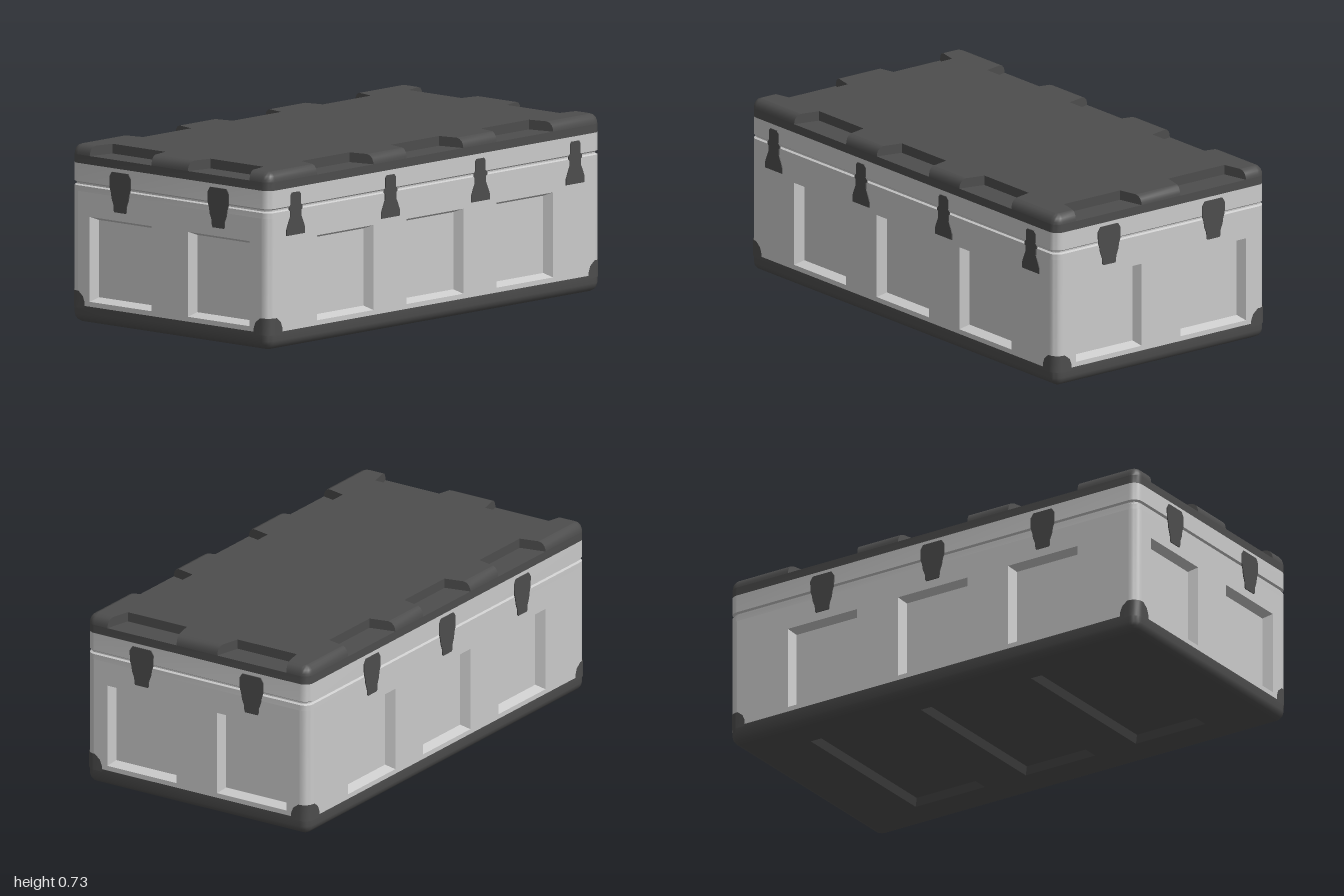
import * as THREE from 'three';
import { toCreasedNormals } from 'three/addons/utils/BufferGeometryUtils.js';

const HX = 1, HZ = 0.545, R = 0.04, SEG = 6;
const WALL_LOW = 0.07, WALL_TOP = 0.54, LID_LOW = 0.655, NOTCH_Y = 0.69, TOP = 0.73;

// Side k: 0 = +x, 1 = +z, 2 = -x, 3 = -z
function side(k) {
  const a = k * Math.PI / 2, c = Math.round(Math.cos(a)), s = Math.round(Math.sin(a)), end = k % 2 === 0;
  const D = end ? HX : HZ, L = end ? HZ : HX;
  return {
    a, D, L, centres: end ? [-0.27, 0.27] : [-0.54, 0, 0.54],
    at: (out, along) => [c * out - s * along, s * out + c * along],
  };
}

// Rounded corner points between side k and the next
function corner(k, inset) {
  const { a, D, L, at } = side(k), [cx, cz] = at(D - R, L - R), pts = [];
  for (let i = 0; i <= SEG; i++) {
    const t = a + (i / SEG) * Math.PI / 2;
    pts.push([cx + Math.cos(t) * (R - inset), cz + Math.sin(t) * (R - inset)]);
  }
  return pts;
}

// Plan outline of the case, optionally with trapezoid notches along the edges
function outline(inset, notched = false) {
  const pts = [];
  for (let k = 0; k < 4; k++) {
    const { D, centres, at } = side(k);
    const mouth = 0.17 - 0.025 * inset / 0.11;
    if (notched) for (const c of centres) {
      pts.push(at(D - inset, c - mouth), at(D - 0.11, c - 0.145), at(D - 0.11, c + 0.145), at(D - inset, c + mouth));
    }
    pts.push(...corner(k, inset));
  }
  return pts;
}

const level = (pts, y) => pts.map(([x, z]) => [x, y, z]);

// Skin between successive loops of points
function loft(loops, closed = true) {
  const n = loops[0].length, index = [];
  for (let j = 0; j < loops.length - 1; j++) {
    for (let i = 0; i < (closed ? n : n - 1); i++) {
      const a = j * n + i, a2 = j * n + (i + 1) % n;
      index.push(a, a + n, a2, a2, a + n, a2 + n);
    }
  }
  const g = new THREE.BufferGeometry();
  g.setAttribute('position', new THREE.Float32BufferAttribute(loops.flat(2), 3));
  g.setIndex(index);
  return toCreasedNormals(g, 0.6);
}

const shapeOf = pts => new THREE.Shape(pts.map(([x, y]) => new THREE.Vector2(x, y)));
const rect = (x, y, w, h) => [[x + w, y - h], [x + w, y + h], [x - w, y + h], [x - w, y - h]];

function add(parent, name, geometry, material) {
  const m = new THREE.Mesh(geometry, material);
  m.name = name;
  parent.add(m);
  return m;
}

// Flat sheet in the xy plane with bevelled rectangular recesses
function recessedSheet(parent, name, edge, recesses, depth, bevel, material) {
  const shape = shapeOf(edge);
  for (const r of recesses) shape.holes.push(new THREE.Path(rect(...r).map(p => new THREE.Vector2(...p))));
  add(parent, name, new THREE.ShapeGeometry(shape), material);
  for (const [x, y, w, h] of recesses) {
    const inner = rect(x, y, w - bevel, h - bevel), outer = rect(x, y, w, h);
    add(parent, 'recessWalls', loft([inner.map(p => [...p, -depth]), outer.map(p => [...p, 0])]), material);
    add(parent, 'recessFloor', new THREE.PlaneGeometry(2 * (w - bevel), 2 * (h - bevel)), material).position.set(x, y, -depth);
  }
}

// Latch plate from half-widths by height, mirrored
function latchGeometry(half) {
  const pts = [...half, ...half.map(([x, y]) => [-x, y]).reverse()];
  return new THREE.ExtrudeGeometry(shapeOf(pts), { depth: 0.004, bevelEnabled: false });
}

export function createModel() {
  const model = new THREE.Group();
  model.name = 'storageCase';
  const light = new THREE.MeshStandardMaterial({ color: 0xcacaca });
  light.name = 'lightGrey';
  const dark = new THREE.MeshStandardMaterial({ color: 0x4d4d4d });
  dark.name = 'darkGrey';
  const darkThin = dark;
  darkThin.side = THREE.DoubleSide;

  const frontLatch = latchGeometry([[0.055, 0.46], [0.055, 0.485], [0.045, 0.51], [0.033, 0.535],
    [0.033, 0.56], [0.04, 0.565], [0.04, 0.575], [0.03, 0.585], [0.03, 0.625], [0.022, 0.635]]);
  const wideLatch = latchGeometry([[0.03, 0.475], [0.034, 0.48], [0.036, 0.505], [0.046, 0.53],
    [0.05, 0.555], [0.057, 0.575], [0.058, 0.62], [0.045, 0.64]]);

  // Four walls with recessed panels and latches
  for (let k = 0; k < 4; k++) {
    const { a, D, L, centres, at } = side(k);
    const wall = new THREE.Group();
    wall.name = ['rightWall', 'frontWall', 'leftWall', 'backWall'][k];
    const [x, z] = at(D, 0);
    wall.position.set(x, 0, z);
    wall.rotation.y = Math.PI / 2 - a;
    model.add(wall);
    const mid = (WALL_LOW + WALL_TOP) / 2;
    recessedSheet(wall, 'wallSheet', rect(0, mid, L - R, WALL_TOP - mid),
      centres.map(c => [c, 0.265, 0.17, 0.175]), 0.04, 0.016, light);
    for (const c of k === 1 ? [-0.84, -0.27, 0.27, 0.84] : centres) {
      add(wall, 'latch', k === 1 ? frontLatch : wideLatch, dark).position.x = c;
    }

    // Rounded wall corner and its protective cap
    const arc = corner(k, 0);
    add(model, 'wallCorner', loft([level(arc, WALL_LOW), level(arc, WALL_TOP)], false), light);
    const out = 0.003, reach = [0.08, 0.07, 0.045], rise = [0.085, 0.11, 0.13];
    const path = [...reach.map(d => at(D + out, L - d)), ...corner(k, -out),
      ...reach.map(d => at(D - d, L + out)).reverse()];
    const top = path.map(([px, pz], i) => [px, rise[Math.min(i, path.length - 1 - i, 2)], pz]);
    add(model, 'cornerGuard', loft([level(path, 0.06), top], false), darkThin);
  }

  // Upper wall band with the lid seam groove
  add(model, 'seamBand', loft([[WALL_TOP, 0], [0.563, 0], [0.568, 0.009], [0.574, 0.009], [0.58, 0], [LID_LOW, 0]]
    .map(([y, i]) => level(outline(i), y))), light);

  // Base tray with recessed underside
  add(model, 'baseRim', loft([[0, 0.03], [0.008, 0.014], [0.02, 0.004], [0.035, 0], [WALL_LOW, 0]]
    .map(([y, i]) => level(outline(i), y))), dark);
  const underside = new THREE.Group();
  underside.name = 'underside';
  underside.rotation.x = Math.PI / 2;
  model.add(underside);
  recessedSheet(underside, 'undersideSheet', outline(0.03),
    [-0.54, 0, 0.54].map(c => [c, 0, 0.17, 0.38]), 0.03, 0.016, dark);

  // Lid: plain ring, notch floors, then the notched top plate
  const lid = new THREE.Group();
  lid.name = 'lid';
  model.add(lid);
  const cap = (name, pts, y) => {
    const g = new THREE.ShapeGeometry(shapeOf(pts.map(([x, z]) => [x, -z]))).rotateX(-Math.PI / 2);
    add(lid, name, g, dark).position.y = y;
  };
  add(lid, 'lidRing', loft([level(outline(0), LID_LOW), level(outline(0), NOTCH_Y)]), dark);
  cap('notchFloor', outline(0), NOTCH_Y);
  add(lid, 'lidEdge', loft([[NOTCH_Y, 0], [0.7, 0.001], [0.714, 0.006], [0.725, 0.016], [TOP, 0.03]]
    .map(([y, i]) => level(outline(i, true), y))), dark);
  cap('lidTop', outline(0.03, true), TOP);

  return model;
}
